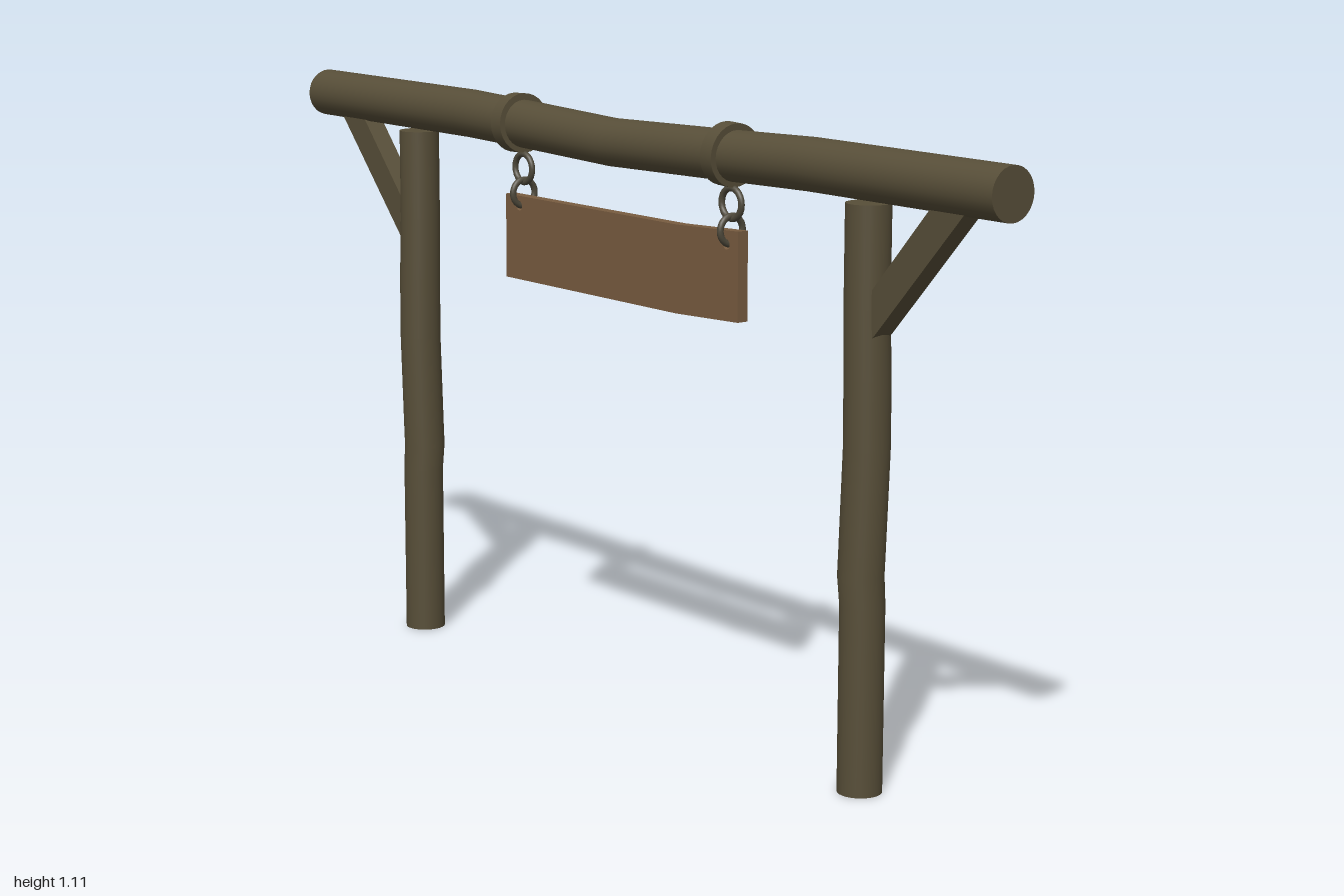
import * as THREE from 'three';

const wood = new THREE.MeshStandardMaterial({ color: 0x574e38 });
wood.name = 'weathered wood';
const board = new THREE.MeshStandardMaterial({ color: 0x785c40 });
board.name = 'brown board';
const iron = new THREE.MeshStandardMaterial({ color: 0x4f4a3c });
iron.name = 'dull iron';

function add(group, name, geometry, material, x = 0, y = 0, z = 0) {
  const mesh = new THREE.Mesh(geometry, material);
  mesh.name = name;
  mesh.position.set(x, y, z);
  group.add(mesh);
  return mesh;
}

// Upright log through stations [height, sideways offset, radius]
function logGeometry(stations) {
  const n = stations.length - 1;
  const geo = new THREE.CylinderGeometry(1, 1, n, 28, n);
  const p = geo.attributes.position;
  for (let i = 0; i < p.count; i++) {
    const [h, off, r] = stations[Math.round(p.getY(i) + n / 2)];
    p.setXYZ(i, p.getX(i) * r + off, h, p.getZ(i) * r);
  }
  return geo;
}

// Flat piece cut from an outline, centred on z = 0
function slab(points, depth, holes = []) {
  const shape = new THREE.Shape(points.map(([x, y]) => new THREE.Vector2(x, y)));
  for (const [x, y, r] of holes) {
    shape.holes.push(new THREE.Path().absarc(x, y, r, 0, Math.PI * 2, true));
  }
  const geo = new THREE.ExtrudeGeometry(shape, { depth, bevelEnabled: false, curveSegments: 10 });
  return geo.translate(0, 0, -depth / 2);
}

export function createModel() {
  const model = new THREE.Group();
  model.name = 'hangingSignFrame';

  // Crossbeam, sagging in the middle
  const beam = logGeometry([
    [-1, 0, 0.046], [-0.48, 0, 0.046], [-0.3, -0.005, 0.045], [-0.03, -0.014, 0.044],
    [0.3, -0.006, 0.045], [0.52, 0, 0.046], [1, 0, 0.046],
  ]);
  beam.rotateZ(-Math.PI / 2);
  // After the turn the sideways offset points down, so flip it back up and down
  beam.rotateX(Math.PI);
  add(model, 'crossbeam', beam, wood, 0, 1.062, 0);

  for (const side of [-1, 1]) {
    const label = side > 0 ? 'left' : 'right';

    // Slightly crooked post
    const post = logGeometry([
      [0, 0, 0.039], [0.33, 0, 0.039], [0.38, -0.005 * side, 0.04], [0.42, -0.003 * side, 0.04],
      [0.6, 0.005 * side, 0.04], [0.72, 0.004 * side, 0.04], [0.84, 0, 0.039], [1.013, 0, 0.039],
    ]);
    add(model, label + 'Post', post, wood, side * 0.665, 0, 0);

    // Diagonal brace on the outer side
    const outline = [[0.69, 0.785], [0.705, 0.797], [0.925, 1.035], [0.845, 1.035], [0.69, 0.864]]
      .map(([x, y]) => [x * side, y]);
    add(model, label + 'Brace', slab(outline, 0.04), wood);

    // Collar round the beam
    const collar = add(model, label + 'Collar', new THREE.CylinderGeometry(0.056, 0.056, 0.03, 28),
      wood, side > 0 ? 0.306 : -0.322, 1.058, 0);
    collar.rotation.z = Math.PI / 2 + side * -0.04;

    // Two linked rings
    add(model, label + 'UpperRing', new THREE.TorusGeometry(0.027, 0.006, 10, 24), iron, side * 0.31, 0.973, 0);
    const lower = add(model, label + 'LowerRing', new THREE.TorusGeometry(0.025, 0.006, 10, 24),
      iron, side * 0.31, 0.926, 0);
    lower.rotation.y = Math.PI / 2;
  }

  // Hanging board, bent slightly upward at one end
  const outline = [[-0.353, 0.761], [0.17, 0.761], [0.342, 0.768], [0.342, 0.928], [0.17, 0.921], [-0.353, 0.921]];
  add(model, 'signBoard', slab(outline, 0.022, [[-0.31, 0.902, 0.009], [0.31, 0.902, 0.009]]), board);

  return model;
}
